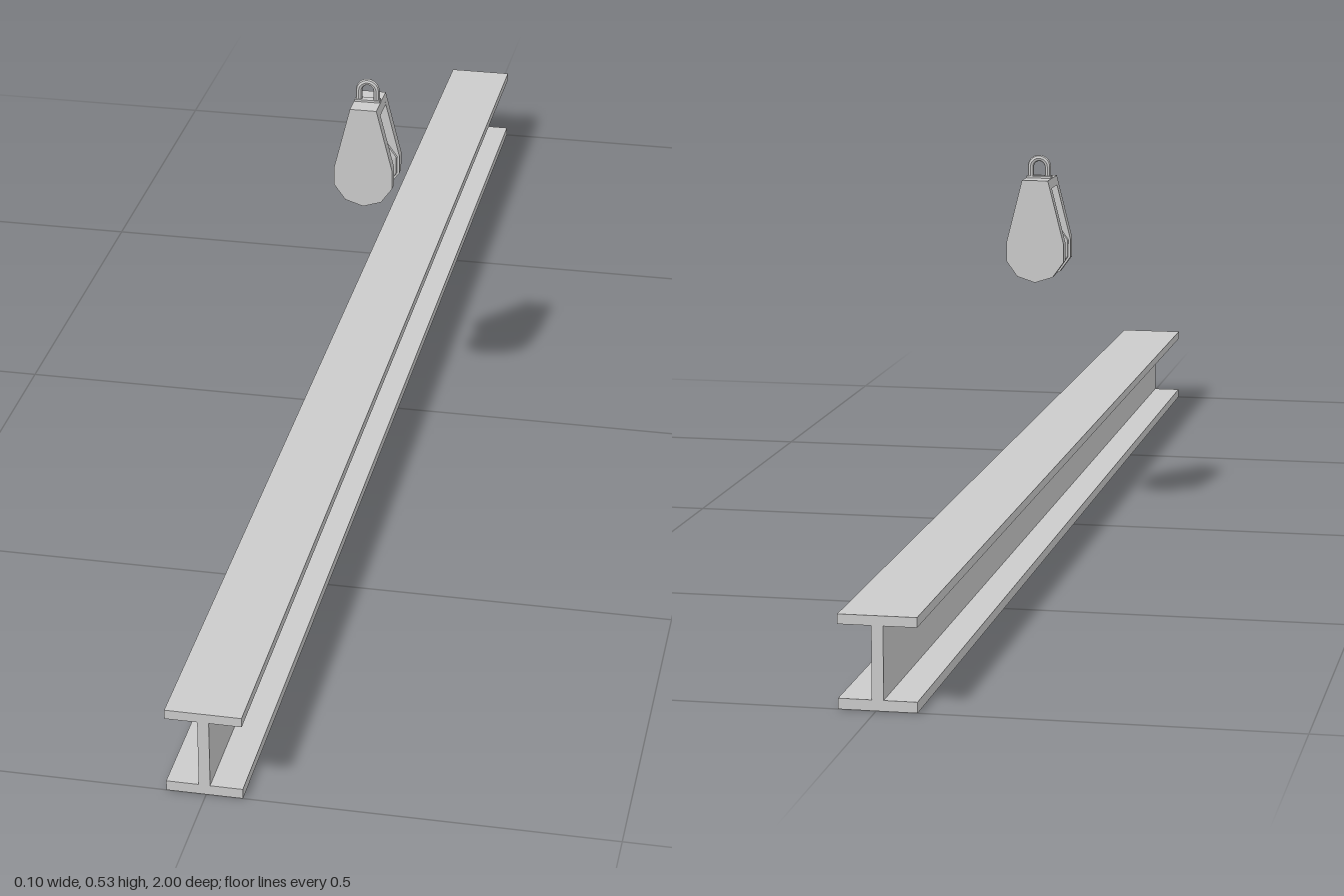
import * as THREE from 'three';

const material = new THREE.MeshStandardMaterial({ color: 0xcccccc, flatShading: true });

function add(parent, name, geometry, x = 0, y = 0, z = 0) {
  const mesh = new THREE.Mesh(geometry, material);
  mesh.name = name;
  mesh.position.set(x, y, z);
  parent.add(mesh);
  return mesh;
}

// Closed outline from [x, y] pairs, extruded along z and centred on z = 0
function prism(points, depth) {
  const shape = new THREE.Shape(points.map(([x, y]) => new THREE.Vector2(x, y)));
  return new THREE.ExtrudeGeometry(shape, { depth, bevelEnabled: false }).translate(0, 0, -depth / 2);
}

export function createModel() {
  const model = new THREE.Group();
  model.name = 'beamAndPulley';

  // I-beam: half of the section, mirrored
  const half = [[0.047, 0], [0.047, 0.013], [0.007, 0.013], [0.007, 0.101], [0.047, 0.101], [0.047, 0.113]];
  const mirrored = half.map(([x, y]) => [-x, y]).reverse();
  add(model, 'beam', prism([...half, ...mirrored], 2), -0.002);

  // Pulley, with its origin on the wheel axis
  const pulley = new THREE.Group();
  pulley.name = 'pulley';
  pulley.position.set(0.006, 0.391, 0.029);
  model.add(pulley);

  // Cheek plates: decagonal bottom tapering to a flat top
  const R = 0.043, top = 0.102, topHalf = 0.0185;
  const outline = [[topHalf, top], [-topHalf, top]];
  for (let i = -3; i <= 3; i++) {
    const a = i * Math.PI / 5;
    outline.push([R * Math.sin(a), -R * Math.cos(a)]);
  }
  for (const side of [1, -1]) {
    add(pulley, side > 0 ? 'frontCheek' : 'backCheek', prism(outline, 0.015), 0, 0, side * 0.027);
  }

  // Bridge joining the cheeks at the top
  add(pulley, 'bridge', prism([[-0.0215, 0.09], [0.0215, 0.09], [topHalf, top], [-topHalf, top]], 0.04));

  // Grooved wheel between the cheeks
  const profile = [new THREE.Vector2(0, -0.0198), new THREE.Vector2(0.04, -0.0198)];
  for (let i = 0; i <= 6; i++) {
    const a = i / 6 * Math.PI;
    profile.push(new THREE.Vector2(0.039 - 0.016 * Math.sin(a), -0.0165 * Math.cos(a)));
  }
  profile.push(new THREE.Vector2(0.04, 0.0198), new THREE.Vector2(0, 0.0198));
  add(pulley, 'wheel', new THREE.LatheGeometry(profile, 10).rotateX(Math.PI / 2));

  // Hanging eye: a bent rod on a low foot
  const r = 0.0122, spring = 0.118;
  const eye = new THREE.CurvePath();
  const arc = [];
  for (let i = 0; i <= 12; i++) {
    const a = Math.PI * i / 12;
    arc.push(new THREE.Vector3(r * Math.cos(a), spring + r * Math.sin(a), 0));
  }
  const path = [new THREE.Vector3(r, top - 0.002, 0), ...arc, new THREE.Vector3(-r, top - 0.002, 0)];
  for (let i = 1; i < path.length; i++) eye.add(new THREE.LineCurve3(path[i - 1], path[i]));
  add(pulley, 'eye', new THREE.TubeGeometry(eye, 28, 0.0045, 8));
  add(pulley, 'eyeFoot', new THREE.BoxGeometry(0.035, 0.004, 0.011), 0, top + 0.001);

  return model;
}
